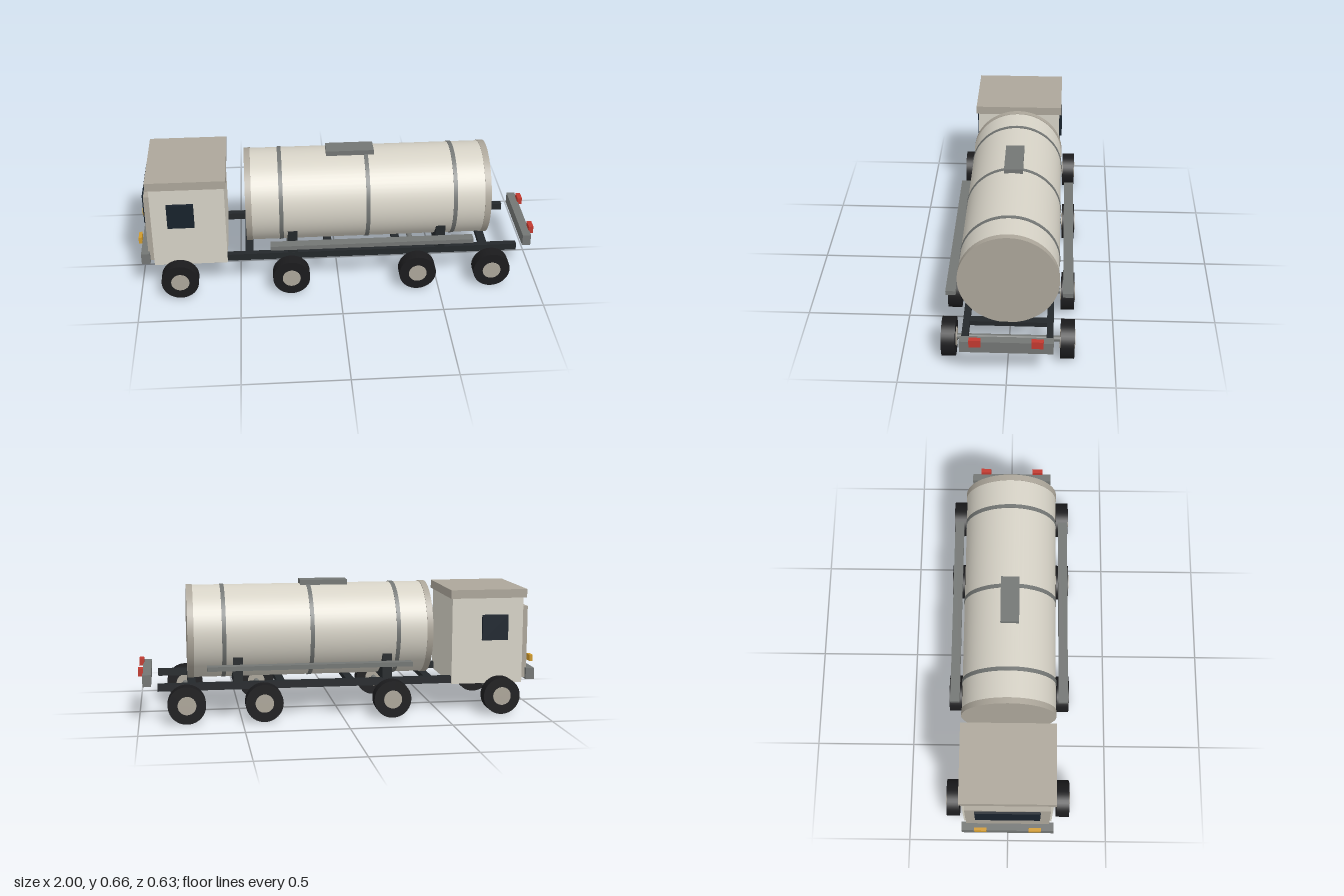
import * as THREE from 'three';

const mat = (color) => new THREE.MeshStandardMaterial({ color });

export function createModel() {
  const truck = new THREE.Group();
  truck.name = 'tankerTruck';

  const cream = mat(0xd6d2c6), taupe = mat(0xaca69a), steel = mat(0x737674);
  const dark = mat(0x24282b), glass = mat(0x18222c), rubber = mat(0x1b1b1d);
  const red = mat(0xc23a30), amber = mat(0xd09a2c);

  // Box given by its extents along each axis
  function box(name, material, [x0, x1], [y0, y1], [z0, z1]) {
    const mesh = new THREE.Mesh(new THREE.BoxGeometry(x1 - x0, y1 - y0, z1 - z0), material);
    mesh.position.set((x0 + x1) / 2, (y0 + y1) / 2, (z0 + z1) / 2);
    mesh.name = name;
    truck.add(mesh);
  }
  // Same box on both sides of the truck
  function pair(name, material, x, y, [z0, z1]) {
    box(name + 'Right', material, x, y, [z0, z1]);
    box(name + 'Left', material, x, y, [-z1, -z0]);
  }
  // Cylinder lying along the truck
  function drum(name, material, x0, x1, radius) {
    const geo = new THREE.CylinderGeometry(radius, radius, x1 - x0, 64).rotateZ(Math.PI / 2);
    const mesh = new THREE.Mesh(geo, material);
    mesh.position.set((x0 + x1) / 2, 0.409, 0);
    mesh.name = name;
    truck.add(mesh);
  }
  // Cylinder lying across the truck
  function roller(name, material, x, z, radius, width) {
    const geo = new THREE.CylinderGeometry(radius, radius, width, 40).rotateX(Math.PI / 2);
    const mesh = new THREE.Mesh(geo, material);
    mesh.position.set(x, 0.0925, z);
    mesh.name = name;
    truck.add(mesh);
  }

  // Cab
  box('cab', cream, [-0.925, -0.56], [0.142, 0.58], [-0.219, 0.219]);
  box('cabRoof', taupe, [-0.94, -0.55], [0.577, 0.62], [-0.23, 0.23]);
  box('cabFrontPanel', taupe, [-0.953, -0.92], [0.165, 0.53], [-0.205, 0.205]);
  box('windshield', glass, [-0.964, -0.95], [0.355, 0.51], [-0.157, 0.157]);
  pair('sideWindow', glass, [-0.845, -0.713], [0.364, 0.492], [0.215, 0.235]);
  box('frontBumper', steel, [-0.988, -0.945], [0.157, 0.215], [-0.228, 0.228]);
  pair('headlight', amber, [-1, -0.984], [0.237, 0.27], [0.104, 0.163]);

  // Chassis
  pair('chassisRail', dark, [-0.6, 0.907], [0.146, 0.181], [0.18, 0.211]);
  for (const x of [-0.45, -0.05, 0.3, 0.74]) {
    box('crossMember', dark, [x - 0.02, x + 0.02], [0.152, 0.176], [-0.19, 0.19]);
  }
  for (const x of [-0.231, 0.514]) {
    box('tankSaddle', dark, [x - 0.024, x + 0.024], [0.175, 0.305], [-0.21, 0.21]);
  }
  pair('sideRail', steel, [-0.343, 0.667], [0.255, 0.277], [0.252, 0.3]);
  box('rearBumper', steel, [0.938, 0.98], [0.171, 0.23], [-0.213, 0.213]);
  pair('tailLight', red, [0.976, 1], [0.215, 0.252], [0.114, 0.168]);

  // Tank with end caps, bands and top hatch
  drum('tankBody', cream, -0.44, 0.74, 0.2325);
  drum('frontTankCap', taupe, -0.46, -0.43, 0.2355);
  drum('rearTankCap', taupe, 0.727, 0.758, 0.2355);
  for (const x of [-0.285, 0.146, 0.58]) drum('tankBand', steel, x - 0.01, x + 0.01, 0.2355);
  box('topHatch', steel, [-0.052, 0.186], [0.636, 0.662], [-0.046, 0.046]);

  // Axles and wheels
  for (const x of [-0.798, -0.243, 0.392, 0.768]) {
    roller('axle', steel, x, 0, 0.014, 0.5);
    for (const side of [-1, 1]) {
      roller('tire', rubber, x, side * 0.277, 0.0925, 0.065);
      roller('hub', taupe, x, side * 0.277, 0.045, 0.072);
    }
  }

  return truck;
}
